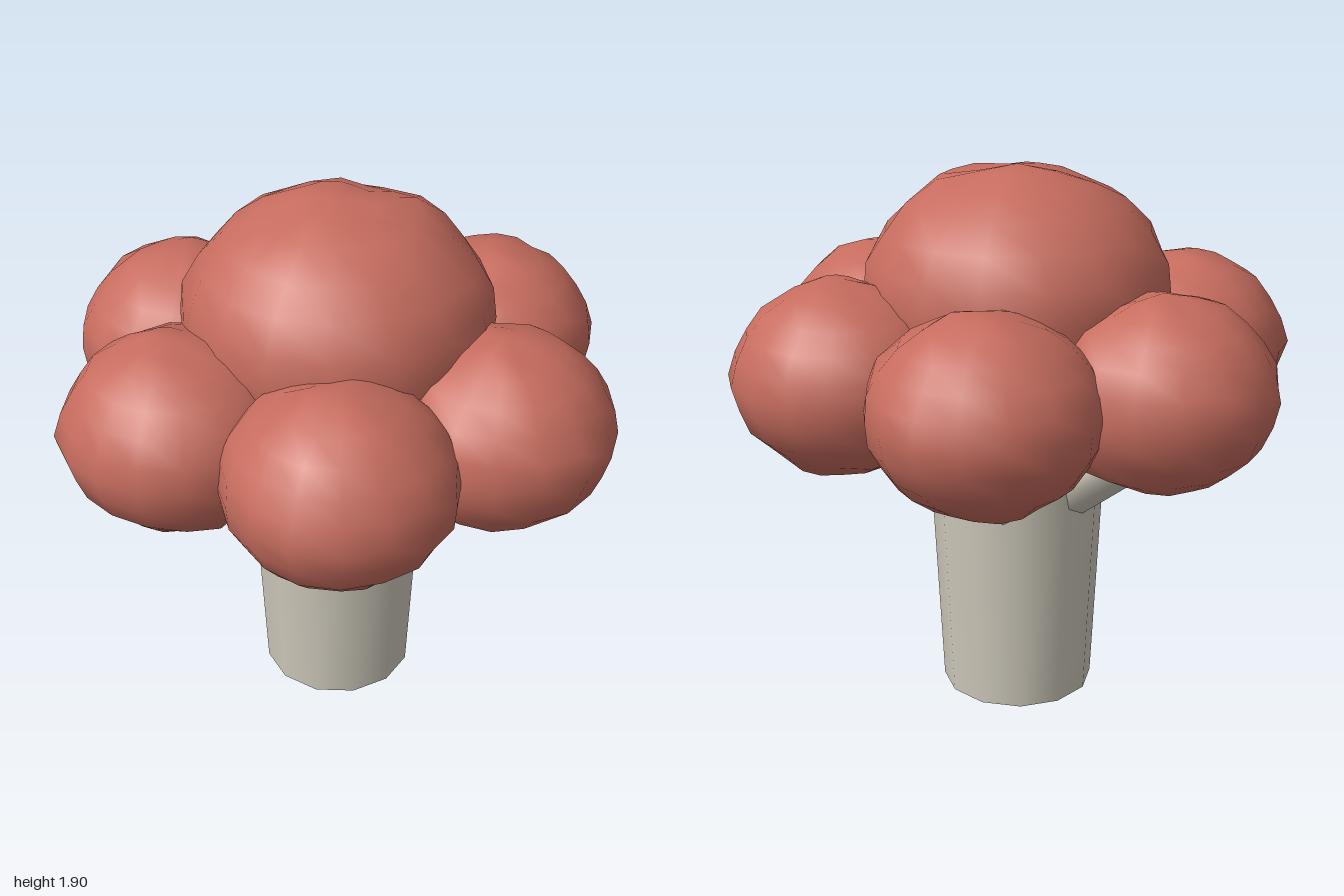
import * as THREE from 'three';
import { mergeVertices } from 'three/addons/utils/BufferGeometryUtils.js';

// Lumpy, flattened sphere with smooth normals; roughest near the poles.
function blobGeometry(radius, height, phase) {
  let g = new THREE.SphereGeometry(1, 16, 12);
  g.deleteAttribute('uv');
  g.deleteAttribute('normal');
  g = mergeVertices(g, 1e-4);
  const p = g.attributes.position;
  const v = new THREE.Vector3();
  const tip = new THREE.Vector3(0.96, 0, 0.28);
  for (let i = 0; i < p.count; i++) {
    v.fromBufferAttribute(p, i);
    const rough = 0.012 + 0.022 * v.y * v.y;
    const lump = Math.sin(v.x * 9 + phase) * Math.cos(v.z * 8 - phase) + 0.7 * Math.sin(v.y * 11 + v.x * 5 + phase * 2);
    const bump = 0.05 * Math.exp(-v.distanceToSquared(tip) * 16);
    v.multiplyScalar(1 + rough * lump + bump);
    p.setXYZ(i, v.x * radius, v.y * height, v.z * radius);
  }
  g.computeVertexNormals();
  return g;
}

export function createModel() {
  const model = new THREE.Group();
  model.name = 'roundTree';
  const bark = new THREE.MeshStandardMaterial({ color: 0xcdc8ba });
  bark.name = 'paleBark';
  const foliage = new THREE.MeshStandardMaterial({ color: 0xc66c5e });
  foliage.name = 'redFoliage';

  function add(name, geometry, material, parent = model) {
    const mesh = new THREE.Mesh(geometry, material);
    mesh.name = name;
    parent.add(mesh);
    return mesh;
  }

  // Trunk, slightly wider at the top
  add('trunk', new THREE.CylinderGeometry(0.31, 0.27, 0.845, 12), bark).position.y = 0.4225;

  // Crown
  const crown = add('crownTop', blobGeometry(0.53, 0.43, 0.4), foliage);
  crown.position.y = 1.47;
  crown.rotation.y = Math.PI;

  // Six boughs, each a branch carrying a foliage ball
  const start = new THREE.Vector3(0.1, 0.71, 0);
  const end = new THREE.Vector3(0.61, 1.07, 0);
  const along = end.clone().sub(start);
  const branchGeometry = new THREE.CylinderGeometry(0.085, 0.115, along.length(), 8);
  const ballGeometry = blobGeometry(0.385, 0.322, 1.3);
  for (let i = 0; i < 6; i++) {
    const bough = new THREE.Group();
    bough.name = 'bough' + (i + 1);
    bough.rotation.y = THREE.MathUtils.degToRad(18 - 60 * i);
    const branch = add('branch', branchGeometry, bark, bough);
    branch.position.copy(start).lerp(end, 0.5);
    branch.quaternion.setFromUnitVectors(new THREE.Vector3(0, 1, 0), along.clone().normalize());
    add('foliageBall', ballGeometry, foliage, bough).position.set(0.605, 1.225, 0);
    model.add(bough);
  }
  return model;
}
